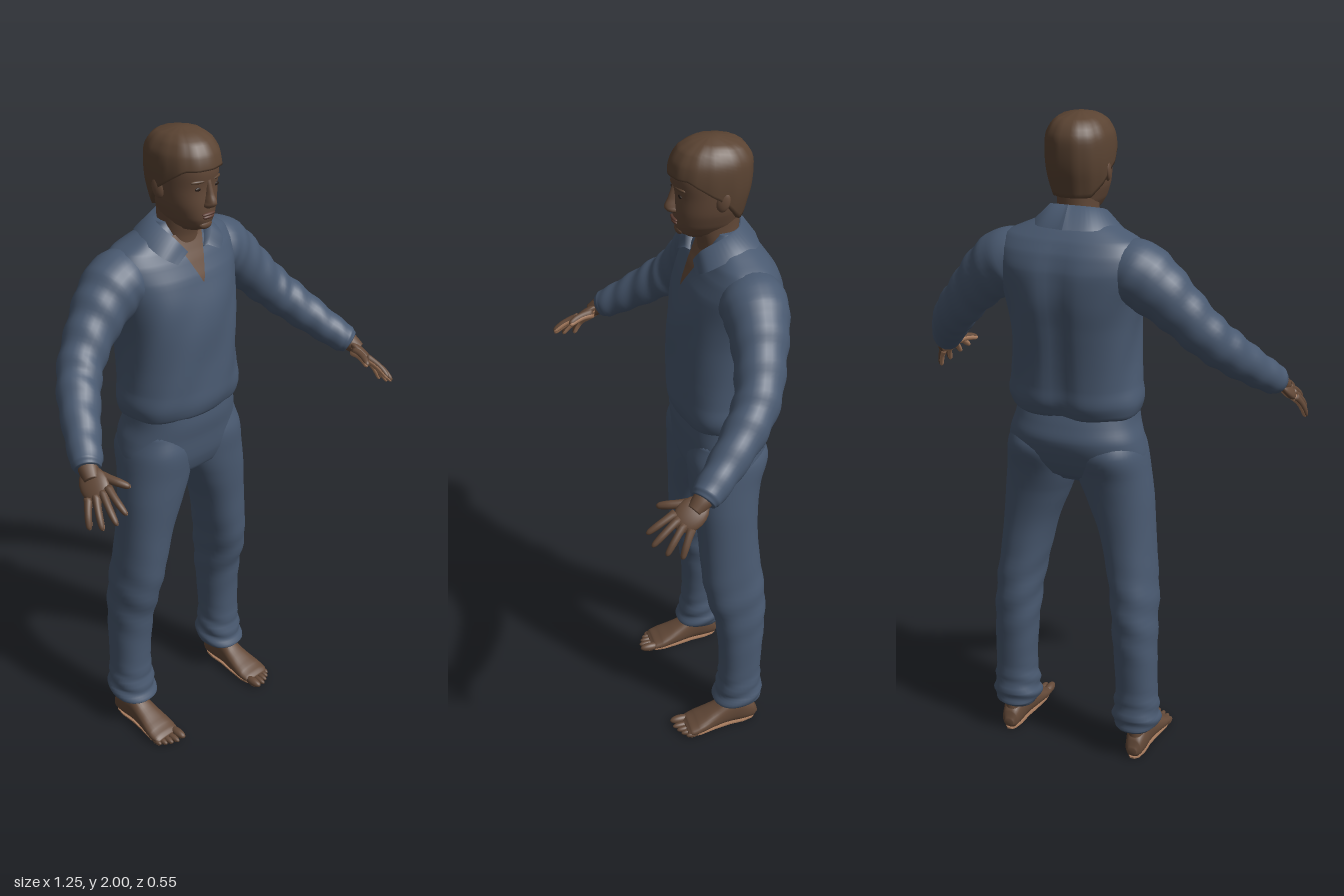
import * as THREE from 'three';

const V = (x, y, z) => new THREE.Vector3(x, y, z);
const mat = (name, color, side = THREE.FrontSide) => {
  const m = new THREE.MeshStandardMaterial({ color, side });
  m.name = name;
  return m;
};

// Skin a list of equal-length point rings, closing both ends
function skinRings(rings, flip = false, closed = true) {
  const n = rings[0].length, pos = [], idx = [];
  const tri = (a, b, c) => (flip ? idx.push(a, c, b) : idx.push(a, b, c));
  rings.forEach(r => r.forEach(p => pos.push(p.x, p.y, p.z)));
  const cols = closed ? n : n - 1;
  for (let j = 0; j < rings.length - 1; j++) for (let i = 0; i < cols; i++) {
    const a = j * n + i, b = j * n + (i + 1) % n;
    tri(a, b, b + n); tri(a, b + n, a + n);
  }
  if (closed) [0, rings.length - 1].forEach(j => {
    const c = rings[j].reduce((s, p) => s.add(p), V(0, 0, 0)).divideScalar(n);
    const k = pos.length / 3;
    pos.push(c.x, c.y, c.z);
    for (let i = 0; i < n; i++) {
      const a = j * n + i, b = j * n + (i + 1) % n;
      j ? tri(a, b, k) : tri(b, a, k);
    }
  });
  const g = new THREE.BufferGeometry();
  g.setAttribute('position', new THREE.Float32BufferAttribute(pos, 3));
  g.setIndex(idx);
  g.computeVertexNormals();
  return g;
}

// Sections are [t, aMin, aMax, bMin, bMax]; smooth lookup at any t
function sectionAt(S, t) {
  let i = 0;
  while (i < S.length - 2 && t > S[i + 1][0]) i++;
  const f = THREE.MathUtils.clamp((t - S[i][0]) / (S[i + 1][0] - S[i][0]), 0, 1);
  const row = k => S[Math.max(0, Math.min(S.length - 1, k))];
  return [1, 2, 3, 4].map(c => {
    const [p, q, r, s] = [-1, 0, 1, 2].map(d => row(i + d)[c]);
    return q + 0.5 * f * (r - p + f * (2 * p - 5 * q + 4 * r - s + f * (3 * (q - r) + s - p)));
  });
}
function sectionPoint(S, t, angle, n, grow = 0) {
  const [a0, a1, b0, b1] = sectionAt(S, t);
  const pw = v => Math.sign(v) * Math.abs(v) ** (2 / n);
  return [(a0 + a1) / 2 + ((a1 - a0) / 2 + grow) * pw(Math.cos(angle)),
    (b0 + b1) / 2 + ((b1 - b0) / 2 + grow) * pw(Math.sin(angle))];
}
// Front z of a vertical body at x, y
function frontZ(S, x, y, n) {
  const [a0, a1, b0, b1] = sectionAt(S, y);
  const u = Math.min(1, Math.abs((x - (a0 + a1) / 2) / ((a1 - a0) / 2)));
  return (b0 + b1) / 2 + (b1 - b0) / 2 * (1 - u ** n) ** (1 / n);
}
function loft(S, { n = 2.2, axis = 'y', seg = 40, steps = 5, fold = () => 0 } = {}) {
  const rings = [];
  for (let j = 0; j <= (S.length - 1) * steps; j++) {
    const i = Math.min(S.length - 2, Math.floor(j / steps));
    const t = S[i][0] + (S[i + 1][0] - S[i][0]) * (j / steps - i);
    rings.push(Array.from({ length: seg }, (_, k) => {
      const w = k / seg * Math.PI * 2;
      const [a, b] = sectionPoint(S, t, w, n, fold(w, t));
      return axis === 'y' ? V(a, t, b) : V(a, b, t);
    }));
  }
  return skinRings(rings, axis === 'y');
}
// Round limb through [x, y, z, radius] points
function limb(P, { seg = 12, steps = 24, fold = () => 0 } = {}) {
  const path = new THREE.CatmullRomCurve3(P.map(p => V(p[0], p[1], p[2])));
  const radius = new THREE.CatmullRomCurve3(P.map((p, i) => V(p[3], i, 0)));
  const F = path.computeFrenetFrames(steps, false);
  return skinRings(Array.from({ length: steps + 1 }, (_, j) => {
    const t = j / steps, c = path.getPoint(t), r = radius.getPoint(t).x;
    return Array.from({ length: seg }, (_, k) => {
      const w = k / seg * Math.PI * 2, q = r + fold(w, t);
      return c.clone().addScaledVector(F.normals[j], q * Math.cos(w)).addScaledVector(F.binormals[j], q * Math.sin(w));
    });
  }));
}

const TORSO = [[1.135, -.175, .175, -.215, 0], [1.15, -.194, .194, -.235, .028], [1.19, -.203, .203, -.25, .04],
  [1.24, -.195, .195, -.25, .04], [1.32, -.19, .19, -.255, .038], [1.42, -.192, .192, -.266, .036],
  [1.5, -.203, .203, -.275, .025], [1.58, -.222, .222, -.27, 0], [1.63, -.222, .222, -.25, -.025],
  [1.665, -.198, .198, -.225, -.045], [1.69, -.145, .145, -.2, -.058], [1.715, -.09, .09, -.172, -.066],
  [1.735, -.068, .068, -.16, -.072]];
const HIPS = [[.925, -.13, .13, -.16, -.03], [.95, -.195, .195, -.19, .0], [1.0, -.216, .216, -.222, .017],
  [1.07, -.205, .205, -.244, .024], [1.12, -.19, .19, -.232, .03], [1.17, -.185, .185, -.215, .028]];
const LEG = [[.095, .145, .262, -.185, -.055], [.11, .135, .28, -.2, -.04], [.15, .134, .279, -.2, -.053],
  [.23, .142, .272, -.195, -.06], [.33, .138, .27, -.2, -.058], [.44, .13, .267, -.207, -.045],
  [.55, .12, .262, -.206, -.016], [.65, .1, .252, -.195, -.005], [.76, .073, .243, -.187, 0],
  [.87, .03, .235, -.192, .01], [.95, .002, .225, -.206, .015], [1.03, .002, .213, -.228, .018], [1.1, .02, .19, -.2, 0]];
const HEAD = [[1.72, -.032, .032, -.12, -.005], [1.735, -.048, .048, -.145, .018], [1.76, -.063, .063, -.155, .028],
  [1.8, -.077, .077, -.165, .03], [1.85, -.084, .084, -.178, .029], [1.9, -.086, .086, -.183, .035],
  [1.94, -.081, .081, -.18, .026], [1.97, -.064, .064, -.16, .004], [1.988, -.04, .04, -.13, -.03], [1.994, -.01, .01, -.09, -.065]];
const FOOT = [[-.188, .2, .23, .015, .04], [-.175, .19, .242, .005, .07], [-.14, .182, .25, .003, .1], [-.09, .18, .25, .003, .102],
  [-.04, .172, .256, .003, .075], [.02, .165, .267, .003, .046], [.05, .168, .266, .004, .032], [.062, .175, .258, .008, .022]];

export function createModel() {
  const model = new THREE.Group();
  const cloth = mat('blueCloth', 0x495970, THREE.DoubleSide);
  const skin = mat('skin', 0x634938);
  const hairMat = mat('hair', 0x5a4332);
  const pale = mat('palmSkin', 0xa87c5e);
  const lipMat = mat('lips', 0x5c3c32);
  const dark = mat('darkEyes', 0x2a1f19);
  const add = (name, geo, m, parent = model) => {
    const mesh = new THREE.Mesh(geo, m);
    mesh.name = name;
    parent.add(mesh);
    return mesh;
  };
  const blob = (name, p, s, m, parent) => {
    const mesh = add(name, new THREE.SphereGeometry(1, 20, 14), m, parent);
    mesh.position.set(...p);
    mesh.scale.set(...s);
    return mesh;
  };

  // Shirt with a spine hollow and loose folds, open at the neck
  add('shirt', loft(TORSO, { n: 2.4, seg: 72, fold: (w, y) => {
    const spine = Math.exp(-(((w - Math.PI * 1.5) / .13) ** 2)) * -.012 * THREE.MathUtils.smoothstep(1.7 - y, 0, .15);
    return spine + .0025 * Math.sin(w * 7 + y * 24) * THREE.MathUtils.smoothstep(1.65 - y, 0, .2);
  } }), cloth);
  add('hips', loft(HIPS, { n: 2.3, seg: 56 }), cloth);
  const vRows = Array.from({ length: 13 }, (_, j) => {
    const y = 1.565 + .135 * j / 12, w = .002 + .058 * j / 12;
    return Array.from({ length: 9 }, (_, i) => {
      const x = w * (i / 4 - 1);
      return V(x, y, frontZ(TORSO, x, y, 2.4) + .005);
    });
  });
  add('openNeck', skinRings(vRows, false, false), skin);

  // Neck, head and face
  add('neck', loft([[1.62, -.062, .062, -.15, -.045], [1.69, -.058, .058, -.155, -.042],
    [1.74, -.057, .057, -.158, -.03], [1.8, -.06, .06, -.16, -.03]]), skin);
  add('head', loft(HEAD, { n: 2.2 }), skin);
  add('nose', loft([[1.792, -.011, .011, 0, .034], [1.8, -.019, .019, 0, .05], [1.812, -.016, .016, 0, .056],
    [1.835, -.011, .011, 0, .046], [1.865, -.009, .009, 0, .036], [1.885, -.012, .012, 0, .03]], { seg: 16 }), skin);
  blob('upperLip', [0, 1.775, .028], [.025, .005, .008], lipMat);
  blob('lowerLip', [0, 1.766, .027], [.021, .006, .008], lipMat);
  blob('chin', [0, 1.741, .014], [.024, .014, .012], skin);

  // Hair cap: fringe in front, lower at the nape
  const hairRows = Array.from({ length: 20 }, (_, j) => Array.from({ length: 48 }, (_, k) => {
    const w = k / 48 * Math.PI * 2, s = Math.sin(w);
    const line = s > 0 ? 1.85 + .055 * Math.min(1, s * 1.5) : 1.85 - .075 * Math.min(1, -s * 1.4);
    const y = line + (1.994 - line) * Math.max(0, j - 1) / 18;
    const [x, z] = sectionPoint(HEAD, y, w, 2.2, j ? .009 + .0012 * Math.sin(w * 13) : -.004);
    return V(x, y + .006 * Math.max(0, (j - 1) / 18), z);
  }));
  add('hair', skinRings(hairRows, true), hairMat);

  // Paired parts, made for the left side and mirrored
  for (const side of [1, -1]) {
    const half = new THREE.Group();
    half.name = side > 0 ? 'leftSide' : 'rightSide';
    half.scale.x = side;
    model.add(half);

    const ez = frontZ(HEAD, .034, 1.852, 2.2);
    blob('eye', [.034, 1.852, ez - .001], [.012, .0055, .004], dark, half);
    blob('brow', [.036, 1.872, ez - .001], [.022, .005, .006], hairMat, half).rotation.y = .35;
    const ear = blob('ear', [.084, 1.845, -.085], [.01, .032, .02], skin, half);
    ear.rotation.set(-.15, -.35, 0);

    // Collar: stand, fold and falling point
    const edges = [
      [[0, 1.715, -.16], [.06, 1.71, -.125], [.068, 1.695, -.07], [.05, 1.675, -.04], [.036, 1.65, -.03]],
      [[0, 1.757, -.168], [.062, 1.75, -.14], [.083, 1.735, -.09], [.07, 1.7, -.03], [.04, 1.66, -.014]],
      [[0, 1.695, -.212], [.085, 1.695, -.19], [.128, 1.695, -.115], [.122, 1.66, -.035], [.086, 1.635, -.008]],
    ].map(e => new THREE.CatmullRomCurve3(e.map(p => V(...p))).getPoints(24));
    add('collar', skinRings(edges, false, false), cloth, half);

    // Sleeve with creases near the elbow and a cuff
    add('sleeve', limb([[.13, 1.585, -.14, .08], [.19, 1.578, -.14, .096], [.25, 1.54, -.135, .088], [.32, 1.475, -.118, .074],
      [.39, 1.4, -.088, .066], [.445, 1.34, -.035, .061], [.5, 1.275, .04, .052], [.54, 1.23, .1, .045], [.55, 1.219, .115, .036]],
    { seg: 28, steps: 64, fold: (w, t) => .0028 * Math.sin(t * 62 + 2.5 * Math.sin(w)) * Math.sin(Math.PI * t) }), cloth, half);

    // Hand: palm, fingers and paler underside
    const hand = new THREE.Group();
    hand.name = 'hand';
    half.add(hand);
    const along = V(.02, -.05, .07).normalize();
    const out = V(.71, .65, .27).addScaledVector(along, -V(.71, .65, .27).dot(along)).normalize();
    const across = out.clone().cross(along);
    const fingers = [
      ['indexFinger', [.546, 1.192, .192], [.555, 1.147, .275]], ['middleFinger', [.56, 1.182, .186], [.584, 1.124, .268]],
      ['ringFinger', [.575, 1.172, .176], [.607, 1.103, .235]], ['littleFinger', [.589, 1.163, .16], [.62, 1.092, .195]],
      ['thumb', [.533, 1.205, .15], [.502, 1.193, .232]],
    ];
    add('wrist', limb([[.535, 1.237, .09, .03], [.548, 1.222, .115, .029], [.561, 1.2, .145, .022]]), skin, hand);
    for (const [m, label, drop, k] of [[skin, '', 0, 1], [pale, 'Pad', -.0035, .9]]) {
      const off = out.clone().multiplyScalar(drop);
      const palm = blob('palm' + label, V(.561, 1.19, .153).add(off).toArray(), [.042 * k, .017 * k, .056 * k], m, hand);
      palm.quaternion.setFromRotationMatrix(new THREE.Matrix4().makeBasis(across, out, along));
      for (const [name, a, b] of fingers) {
        const A = V(...a).add(off), B = V(...b).add(off);
        const bend = out.clone().multiplyScalar(.006);
        const r = (name === 'thumb' ? .0125 : .0105) * k;
        add(name + label, limb([[0, 1.25], [.35, 1], [.65, .95], [.9, .75], [.98, .4], [1, .05]].map(([t, s]) => {
          const p = A.clone().lerp(B, t).addScaledVector(bend, Math.sin(Math.PI * t));
          return [p.x, p.y, p.z, r * s];
        }), { seg: 10, steps: 16 }), m, hand);
      }
    }

    // Trouser leg, creased at knee and bunched at the ankle
    add('trouserLeg', loft(LEG, { n: 2.2, seg: 44, fold: (w, y) =>
      .0045 * Math.sin(y * 110 + 3 * Math.sin(w)) * Math.exp(-(((y - .15) / .07) ** 2))
      + .003 * Math.sin(y * 60 + 2 * w) * Math.exp(-(((y - .5) / .12) ** 2)) }), cloth, half);

    // Bare foot, toes and sole
    add('ankle', loft([[.05, .183, .247, -.175, -.075], [.09, .187, .244, -.17, -.08], [.16, .185, .243, -.165, -.085]]), skin, half);
    add('foot', loft(FOOT, { n: 2.4, axis: 'z', seg: 28 }), skin, half);
    const toes = [[.183, .07, .0145, .034], [.207, .072, .0105, .03], [.226, .066, .01, .027], [.243, .058, .0095, .025], [.258, .048, .009, .022]];
    for (const [x, z, r, len] of toes) {
      blob('toe', [x, r + .002, z], [r, r, len], skin, half);
      blob('toePad', [x, r * .8, z], [r * .8, r * .8, len * .85], pale, half);
    }
    const outline = FOOT.map(s => new THREE.Vector2(s[1] + .008, s[0] * .97))
      .concat(FOOT.map(s => new THREE.Vector2(s[2] - .008, s[0] * .97)).reverse());
    const sole = add('sole', new THREE.ExtrudeGeometry(new THREE.Shape(outline), { depth: .005, bevelEnabled: false }), pale, half);
    sole.rotation.x = Math.PI / 2;
    sole.position.y = .005;
  }
  return model;
}
